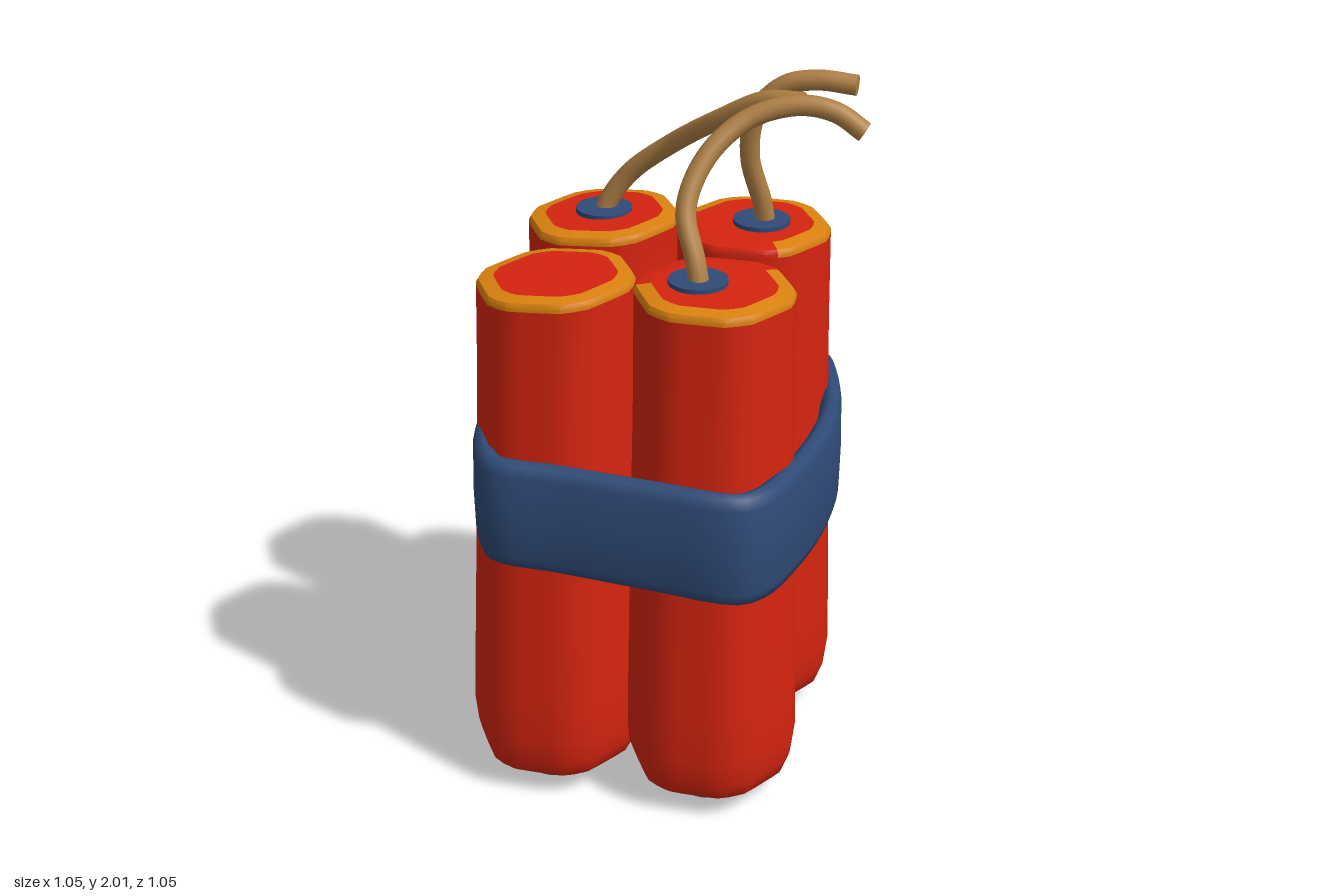
import * as THREE from 'three';
import { toCreasedNormals } from 'three/addons/utils/BufferGeometryUtils.js';

const V = (x, y, z) => new THREE.Vector3(x, y, z);
const mat = (name, color) => {
  const m = new THREE.MeshStandardMaterial({ color });
  m.name = name;
  return m;
};

// Skin a list of rings (arrays of points); "loop" joins the last ring to the first
function loft(rings, crease, { wrap = true, loop = false } = {}) {
  const pos = [], idx = [], n = rings[0].length, m = rings.length;
  rings.forEach(r => r.forEach(p => pos.push(p.x, p.y, p.z)));
  for (let i = 0; i < (loop ? m : m - 1); i++) {
    for (let j = 0; j < (wrap ? n : n - 1); j++) {
      const i2 = (i + 1) % m, j2 = (j + 1) % n;
      const a = i * n + j, b = i * n + j2, c = i2 * n + j2, d = i2 * n + j;
      idx.push(a, b, c, a, c, d);
    }
  }
  const g = new THREE.BufferGeometry();
  g.setAttribute('position', new THREE.Float32BufferAttribute(pos, 3));
  g.setIndex(idx);
  return toCreasedNormals(g, crease);
}

// Radius of a hexagon with clipped corners, corners on the x axis
function hexRadius(deg, r) {
  const a = ((deg % 60) + 60) % 60 - 30;
  return r * Math.min(1.02, 0.965 / Math.cos(THREE.MathUtils.degToRad(a)));
}

export function createModel() {
  const model = new THREE.Group();
  const red = mat('red', 0xd6240f), orange = mat('orange', 0xdb820f);
  const blue = mat('navy blue', 0x2f4b78), tan = mat('tan cord', 0xb08045);
  const add = (parent, name, geo, material) => {
    const mesh = new THREE.Mesh(geo, material);
    mesh.name = name;
    parent.add(mesh);
    return mesh;
  };
  const disc = (parent, name, r, x, z, y0, y1) =>
    add(parent, name, new THREE.CylinderGeometry(r, r, y1 - y0, 20), blue).position.set(x, (y0 + y1) / 2, z);

  // Sticks: bottom and top centres, top height, top tilt, arc of the orange rim in degrees
  const sticks = [
    { name: 'backRightStick', b: [-0.285, -0.245], t: [-0.265, -0.24], top: 1.522, tilt: 0.06, arc: [0, 360] },
    { name: 'frontRightStick', b: [-0.285, 0.25], t: [-0.265, 0.235], top: 1.522, tilt: 0.06, arc: [0, 360] },
    { name: 'backLeftStick', b: [0.17, -0.245], t: [0.17, -0.24], top: 1.535, tilt: 0, arc: [-60, 170] },
    { name: 'frontLeftStick', b: [0.17, 0.25], t: [0.17, 0.235], top: 1.535, tilt: 0, arc: [190, 410] },
  ];
  // Body outline: fraction of height, radius
  const body = [[0, 0], [0, 0.15], [0.006, 0.185], [0.02, 0.212], [0.05, 0.228], [0.1, 0.237],
    [0.2, 0.234], [0.4, 0.226], [0.6, 0.218], [0.8, 0.212], [0.98, 0.21]];
  const rim = [[0.98, 0.21], [0.988, 0.21], [0.995, 0.204], [1, 0.164]];
  const lid = [[1, 0.164], [1, 0]];

  for (const s of sticks) {
    const group = new THREE.Group();
    group.name = s.name;
    model.add(group);
    const ring = ([f, r], from, to) => {
      const pts = [];
      const cx = s.b[0] + (s.t[0] - s.b[0]) * f, cz = s.b[1] + (s.t[1] - s.b[1]) * f;
      for (let d = from; d <= to; d += 10) {
        const a = THREE.MathUtils.degToRad(d), h = hexRadius(d, r);
        const dx = Math.cos(a) * h;
        pts.push(V(cx + dx, 0.045 + f * (s.top - 0.045) + dx * s.tilt * f, cz - Math.sin(a) * h));
      }
      return pts;
    };
    const skin = (rows, from, to) =>
      loft(rows.map(r => ring(r, from, to)), 0.6, { wrap: false });
    add(group, 'stickBody', skin(body, 0, 360), red);
    add(group, 'stickLid', skin(lid, 0, 360), red);
    add(group, 'rimStripe', skin(rim, s.arc[0], s.arc[1]), orange);
    if (s.arc[1] - s.arc[0] < 360) add(group, 'plainRim', skin(rim, s.arc[1], s.arc[0] + 360), red);
    disc(group, 'bottomCap', 0.108, s.b[0], s.b[1], 0, 0.06);
  }

  // Strap: rounded section swept round the bundle
  const outline = [[-0.39, -0.5], [-0.2, -0.51], [0.05, -0.518], [0.29, -0.522], [0.36, -0.47],
    [0.42, -0.3], [0.45, -0.12], [0.45, 0.04], [0.425, 0.24], [0.37, 0.44], [0.3, 0.51], [0.05, 0.51],
    [-0.2, 0.502], [-0.39, 0.494], [-0.465, 0.38], [-0.52, 0.13], [-0.53, -0.07], [-0.5, -0.3], [-0.45, -0.42]];
  const path = new THREE.CatmullRomCurve3(outline.map(([x, z]) => V(x, 0, z)), true);
  const section = [[0.03, 0], [0.009, 0.03], [0, 0.12], [-0.003, 0.5], [0, 0.88], [0.009, 0.97],
    [0.03, 1], [0.05, 0.97], [0.06, 0.88], [0.06, 0.12], [0.05, 0.03]];
  const strapRings = [];
  for (let i = 0; i < 80; i++) {
    const p = path.getPoint(i / 80), t = path.getTangent(i / 80);
    const low = 0.74 - 0.05 * p.x, high = 1.068 - 0.035 * p.x;
    strapRings.push(section.map(([d, v]) =>
      V(p.x - t.z * d, low + (high - low) * v, p.z + t.x * d)));
  }
  add(model, 'strap', loft(strapRings, 1.1, { loop: true }), blue);

  // Fuses with their collars
  const fuses = [
    { name: 'backRightFuse', collar: [-0.266, -0.248, 1.533], pts: [[-0.275, 1.5, -0.255], [-0.25, 1.56, -0.262],
      [-0.19, 1.64, -0.262], [-0.07, 1.74, -0.23], [0.1, 1.865, -0.127], [0.23, 1.94, -0.076], [0.34, 1.955, -0.045]] },
    { name: 'backLeftFuse', collar: [0.193, -0.232, 1.547], pts: [[0.205, 1.5, -0.245], [0.195, 1.59, -0.232],
      [0.165, 1.74, -0.195], [0.185, 1.87, -0.175], [0.26, 1.955, -0.17], [0.35, 1.978, -0.17], [0.46, 1.972, -0.17]] },
    { name: 'frontLeftFuse', collar: [0.125, 0.235, 1.547], pts: [[0.135, 1.5, 0.245], [0.115, 1.59, 0.225],
      [0.075, 1.71, 0.17], [0.11, 1.83, 0.09], [0.2, 1.915, 0.012], [0.33, 1.953, -0.025],
      [0.43, 1.938, -0.035], [0.505, 1.89, -0.037]] },
  ];
  for (const f of fuses) {
    const group = new THREE.Group();
    group.name = f.name;
    model.add(group);
    const [x, z, y] = f.collar;
    disc(group, 'collar', 0.08, x, z, 1.5, y);
    const curve = new THREE.CatmullRomCurve3(f.pts.map(p => V(...p)));
    add(group, 'cord', new THREE.TubeGeometry(curve, 48, 0.028, 12), tan);
    // Flat end of the cord
    const end = add(group, 'cordEnd', new THREE.CircleGeometry(0.028, 12), tan);
    end.position.copy(curve.getPoint(1));
    end.quaternion.setFromUnitVectors(V(0, 0, 1), curve.getTangent(1));
  }
  return model;
}
